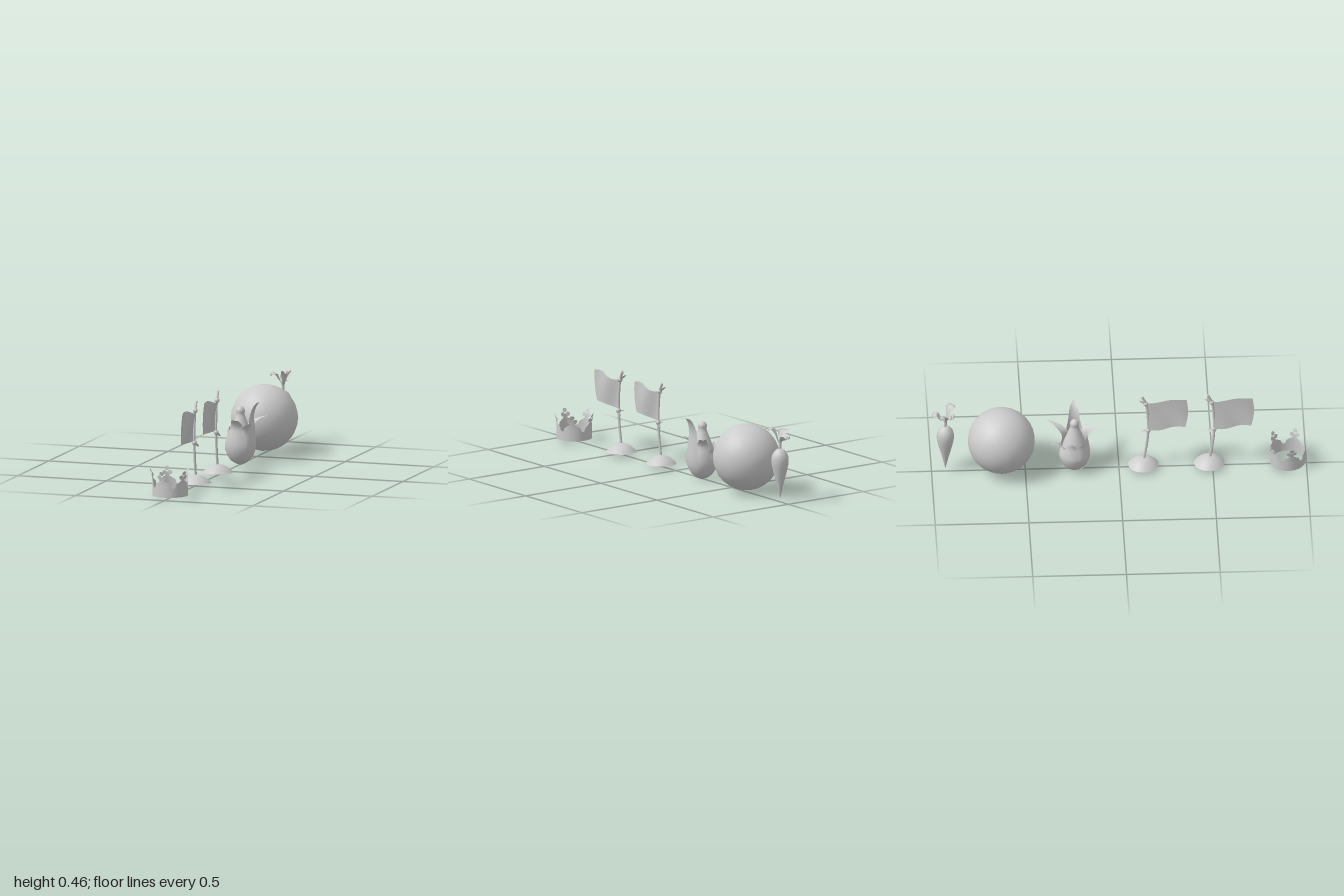
import * as THREE from 'three';

const solid = new THREE.MeshStandardMaterial({ color: 0xcccccc });
const thin = new THREE.MeshStandardMaterial({ color: 0xcccccc, side: THREE.DoubleSide });

function add(parent, name, geometry, material = solid) {
  const mesh = new THREE.Mesh(geometry, material);
  mesh.name = name;
  parent.add(mesh);
  return mesh;
}

function group(parent, name, x, y, z) {
  const g = new THREE.Group();
  g.name = name;
  g.position.set(x, y, z);
  parent.add(g);
  return g;
}

// Move every vertex of a geometry by fn(x, y) -> [x, y, z]
function bend(geometry, fn) {
  const p = geometry.attributes.position;
  for (let i = 0; i < p.count; i++) p.setXYZ(i, ...fn(p.getX(i), p.getY(i)));
  geometry.computeVertexNormals();
  return geometry;
}

// Grid surface: u and v both run from 0 to 1
const surface = (nu, nv, fn) =>
  bend(new THREE.PlaneGeometry(1, 1, nu, nv), (x, y) => fn(x + 0.5, y + 0.5));

function lathe(profile, smooth = 24, sides = 24) {
  const curve = new THREE.SplineCurve(profile.map(([r, y]) => new THREE.Vector2(r, y)));
  const pts = curve.getPoints(smooth).map(p => new THREE.Vector2(Math.max(p.x, 0), p.y));
  return new THREE.LatheGeometry(pts, sides);
}

// Leaf along a spine of [radius, height, half width], turned about y by an angle
function leaf(parent, name, spine, degrees, cup, frill = 0) {
  const curve = new THREE.CatmullRomCurve3(spine.map(s => new THREE.Vector3(...s)));
  const geo = surface(10, 18, (u, v) => {
    const s = curve.getPoint(v), side = u * 2 - 1, w = Math.max(s.z, 0);
    const wave = frill * v * Math.sin(side * 8 + v * 12);
    return [w * side * (1 + wave * 12), s.y + wave, s.x - cup * w * side * side];
  });
  add(parent, name, geo, thin).rotation.y = THREE.MathUtils.degToRad(degrees);
}

function buildCrown(root) {
  const crown = group(root, 'crown', 0, 0, 0.9);
  const R = 0.095, first = THREE.MathUtils.degToRad(-7.5), step = Math.PI * 2 / 5;
  const wrap = (angle, y) => {
    const r = R + 3.2 * Math.max(0, y - 0.09) ** 2;
    return [r * Math.sin(angle), y, r * Math.cos(angle)];
  };
  // Top edge over one fifth of the ring: round notch, slope, neck
  const edge = s => {
    const d = R * step / 2 - Math.abs(s);
    if (d < 0.013) return 0.079 - Math.sqrt(0.013 ** 2 - d * d);
    return d < 0.05 ? 0.086 + (d - 0.013) * 0.6 : 0.128;
  };
  add(crown, 'crownBand', surface(200, 5, (u, v) => {
    const p = (u - 0.5) * step * 5;
    const s = (p - step * Math.round(p / step)) * R;
    return wrap(first + p, 0.017 + v * (edge(s) - 0.017));
  }), thin);
  // Three round lobes on every point
  for (let i = 0; i < 5; i++) {
    for (const [x, y] of [[-0.015, 0.125], [0.015, 0.125], [0, 0.146]]) {
      add(crown, 'crownLobe', bend(new THREE.CircleGeometry(0.0115, 14),
        (a, b) => wrap(first + i * step + (x + a) / R, y + b)), thin);
    }
  }
}

function buildFlag(root, z) {
  const flag = group(root, 'flag', 0, 0, z);
  add(flag, 'flagBase', lathe([[0.082, 0.018], [0.06, 0.039], [0.032, 0.056], [0, 0.064]], 12, 28), thin);

  const pole = new THREE.CatmullRomCurve3([[0.002, 0.05], [0.018, 0.15], [0.026, 0.24],
    [0.024, 0.33], [0.013, 0.41], [-0.008, 0.456]].map(([d, y]) => new THREE.Vector3(-0.001, y, d)));
  add(flag, 'pole', new THREE.TubeGeometry(pole, 24, 0.007, 8));
  const cap = add(flag, 'poleTop', new THREE.CircleGeometry(0.007, 8));
  cap.position.copy(pole.getPoint(1));
  cap.lookAt(cap.position.clone().add(pole.getTangent(1)));

  // Cloth hangs toward +z with a soft ripple
  add(flag, 'cloth', surface(16, 14, (u, v) => [
    0.011 * Math.sin(u * 5.2 + v * 2.4 - 2.6) * Math.sin(Math.PI * (0.1 + 0.85 * u)) + 0.012 * (v - 0.55),
    0.243 + 0.167 * v + 0.013 * u - 0.007 * Math.sin(u * Math.PI * 2) * (0.4 + v),
    0.024 + 0.208 * u - 0.012 * v * (1 - u) + 0.01 * Math.sin(v * Math.PI) * u - 0.008 * u * (1 - v),
  ]), thin);

  // Knots with two loose ends each
  for (const [y, d, ends] of [[0.408, 0.013, [[-0.014, 0.03], [0.012, 0.014]]],
    [0.237, 0.026, [[-0.012, 0.004], [0.012, -0.026]]]]) {
    const knot = group(flag, 'knot', 0, y, d);
    add(knot, 'knotBall', new THREE.SphereGeometry(0.0135, 12, 8));
    for (const [x, rise] of ends) {
      add(knot, 'knotEnd', surface(3, 6, (u, v) => {
        const w = 0.007 * Math.sin(Math.PI * (0.15 + 0.8 * v));
        const side = u * 2 - 1;
        return [x * v + w * side, rise * v + 0.4 * w * side, -0.036 * v];
      }), thin);
    }
  }
}

function buildCob(root) {
  const cob = group(root, 'huskedCob', 0, 0, -0.237);
  add(cob, 'cob', lathe([[0, 0.004], [0.035, 0.014], [0.066, 0.06], [0.073, 0.11], [0.056, 0.18],
    [0.034, 0.24], [0.023, 0.272], [0.024, 0.295], [0.014, 0.312], [0, 0.316]], 36));
  // Husk leaves: angle, tip radius, tip height, widest half width
  const husks = [[90, 0.145, 0.352, 0.05], [144, 0.18, 0.25, 0.045], [0, 0.125, 0.258, 0.058],
    [48, 0.112, 0.235, 0.045], [198, 0.14, 0.19, 0.05], [-105, 0.072, 0.2, 0.05], [-52, 0.07, 0.2, 0.05]];
  for (const [angle, r, y, w] of husks) {
    const upright = y > 0.3 ? 0.075 : 0.07;
    leaf(cob, 'huskLeaf', [[0.008, 0.002, 0.012], [0.055, 0.03, w * 0.7], [0.082, 0.09, w],
      [0.079, 0.08 + (y - 0.08) * 0.4, w * 0.9], [upright, 0.08 + (y - 0.08) * 0.72, w * 0.62],
      [upright + (r - upright) * 0.4, y - 0.012, w * 0.4], [r, y, 0]], angle, 0.32);
  }
}

function buildCarrot(root) {
  const carrot = group(root, 'carrot', 0, 0, -0.926);
  add(carrot, 'carrotRoot', lathe([[0, 0.02], [0.006, 0.045], [0.02, 0.105], [0.037, 0.17],
    [0.046, 0.22], [0.042, 0.258], [0.024, 0.285], [0.008, 0.293], [0, 0.292]], 28, 20));
  add(carrot, 'carrotStem', new THREE.CylinderGeometry(0.009, 0.007, 0.055, 8).translate(0, 0.315, 0));
  // Frilled leaf fans: angle, tip radius, tip height
  for (const [angle, r, y] of [[180, 0.072, 0.365], [-60, 0.07, 0.384], [42, 0.066, 0.4]]) {
    leaf(carrot, 'carrotLeaf', [[0.003, 0.31, 0.006], [0.014, 0.338, 0.009], [0.03, y - 0.022, 0.02],
      [0.048, y + 0.002, 0.029], [r - 0.006, y, 0.024], [r, y - 0.006, 0.009]], angle, 0.35, 0.007);
  }
}

export function createModel() {
  const root = new THREE.Group();
  root.name = 'propRow';
  buildCrown(root);
  for (const z of [0.482, 0.13]) buildFlag(root, z);
  buildCob(root);
  add(root, 'ball', new THREE.IcosahedronGeometry(0.179, 4)).position.set(0, 0.193, -0.627);
  buildCarrot(root);
  return root;
}
